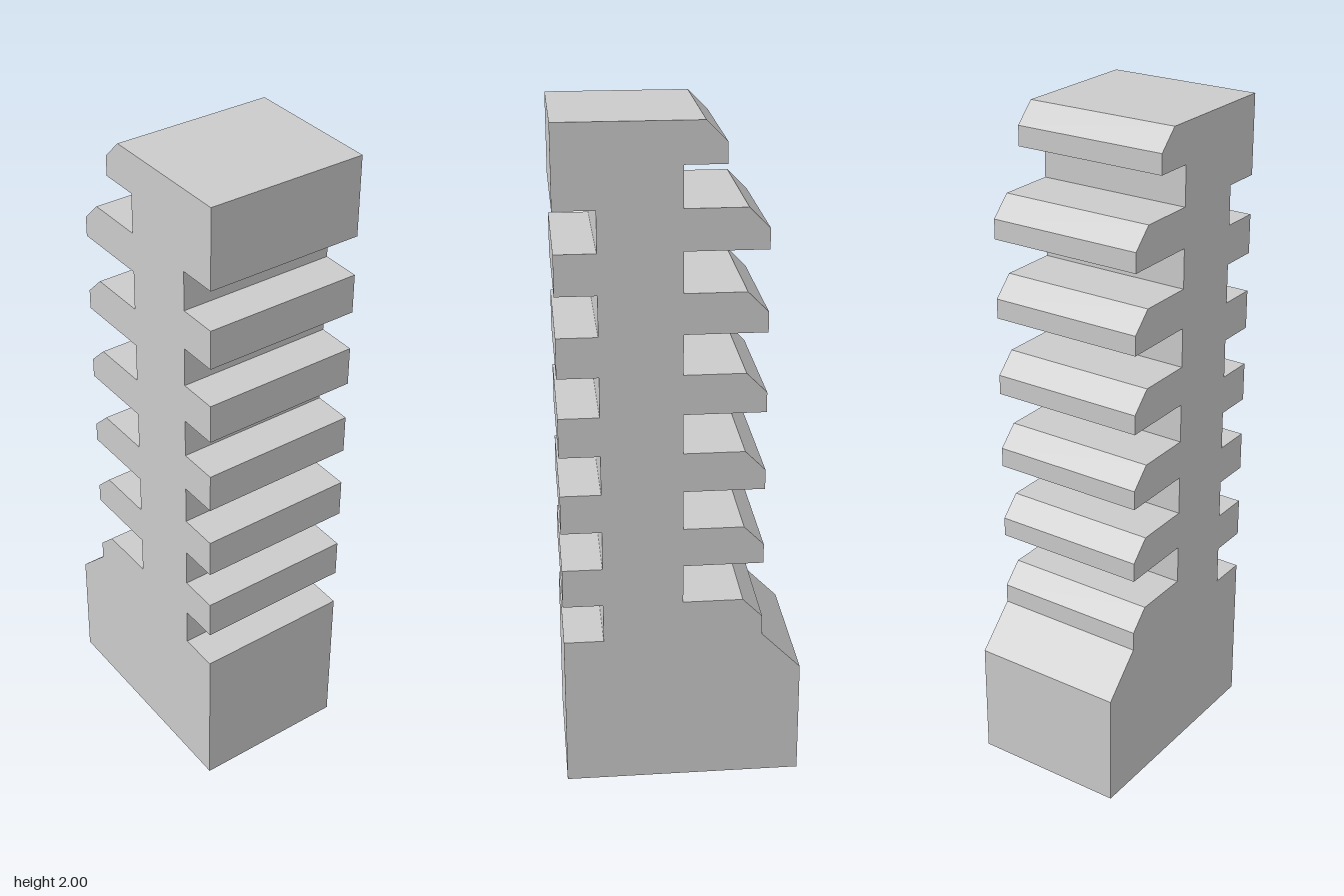
import * as THREE from 'three';

const U = 2 / 17; // grid module: the tower is 17 modules tall

export function createModel() {
  const group = new THREE.Group();
  group.name = 'finnedTower';

  // Side profile, counter-clockwise from the lower -x corner
  const points = [[-3, 0], [3, 0]];

  // Square notches up the +x side
  for (let y = 4; y <= 14; y += 2) {
    points.push([3, y], [2, y], [2, y + 1], [3, y + 1]);
  }

  // Top block with its short chamfered lip
  points.push([3, 17], [-0.5, 17], [-1, 16.5], [-1, 16], [0, 16]);

  // Chamfered fins down the -x side
  for (let y = 14; y >= 6; y -= 2) {
    points.push([0, y + 1], [-1.5, y + 1], [-2, y + 0.5], [-2, y], [0, y]);
  }

  // Lowest fin merging into the sloped base
  points.push([0, 5], [-1.5, 5], [-2, 4.5], [-2, 4], [-3, 3]);

  const shape = new THREE.Shape(points.map(([x, y]) => new THREE.Vector2(x * U, y * U)));
  const geometry = new THREE.ExtrudeGeometry(shape, { depth: 4 * U, bevelEnabled: false });
  geometry.translate(0, 0, -2 * U);

  const tower = new THREE.Mesh(
    geometry,
    new THREE.MeshStandardMaterial({ color: 0xcccccc, flatShading: true })
  );
  tower.name = 'towerBody';
  group.add(tower);
  return group;
}
